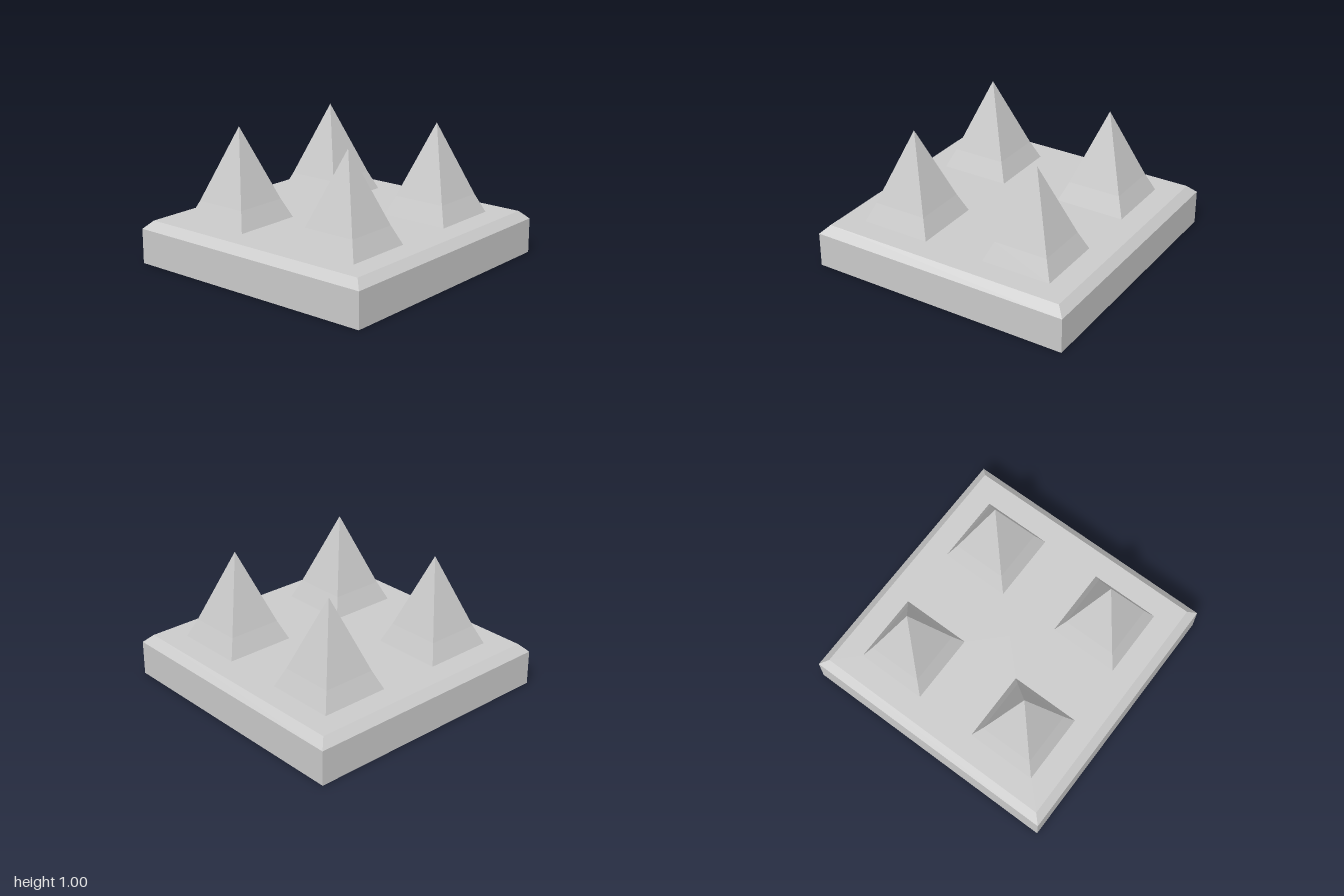
import * as THREE from 'three';

const material = new THREE.MeshStandardMaterial({ color: 0xcccccc, flatShading: true });

// Four-sided solid from a profile of [half width, height], bottom to top
function squareSolid(name, profile) {
  const points = profile.map(([half, y]) => new THREE.Vector2(half * Math.SQRT2, y));
  const mesh = new THREE.Mesh(new THREE.LatheGeometry(points, 4, Math.PI / 4), material);
  mesh.name = name;
  return mesh;
}

export function createModel() {
  const model = new THREE.Group();
  model.name = 'spikedPlate';

  // Square slab with a chamfered top edge
  model.add(squareSolid('base', [[0, 0], [1, 0], [1, 0.26], [0.94, 0.32], [0, 0.32]]));

  // One slightly flared spike in each quarter
  for (const x of [-0.5, 0.5]) {
    for (const z of [-0.5, 0.5]) {
      const side = x > 0 ? 'Left' : 'Right';
      const spike = squareSolid((z > 0 ? 'front' : 'back') + side + 'Spike',
        [[0.265, 0.32], [0.204, 0.46], [0, 1]]);
      spike.position.set(x, 0, z);
      model.add(spike);
    }
  }
  return model;
}
